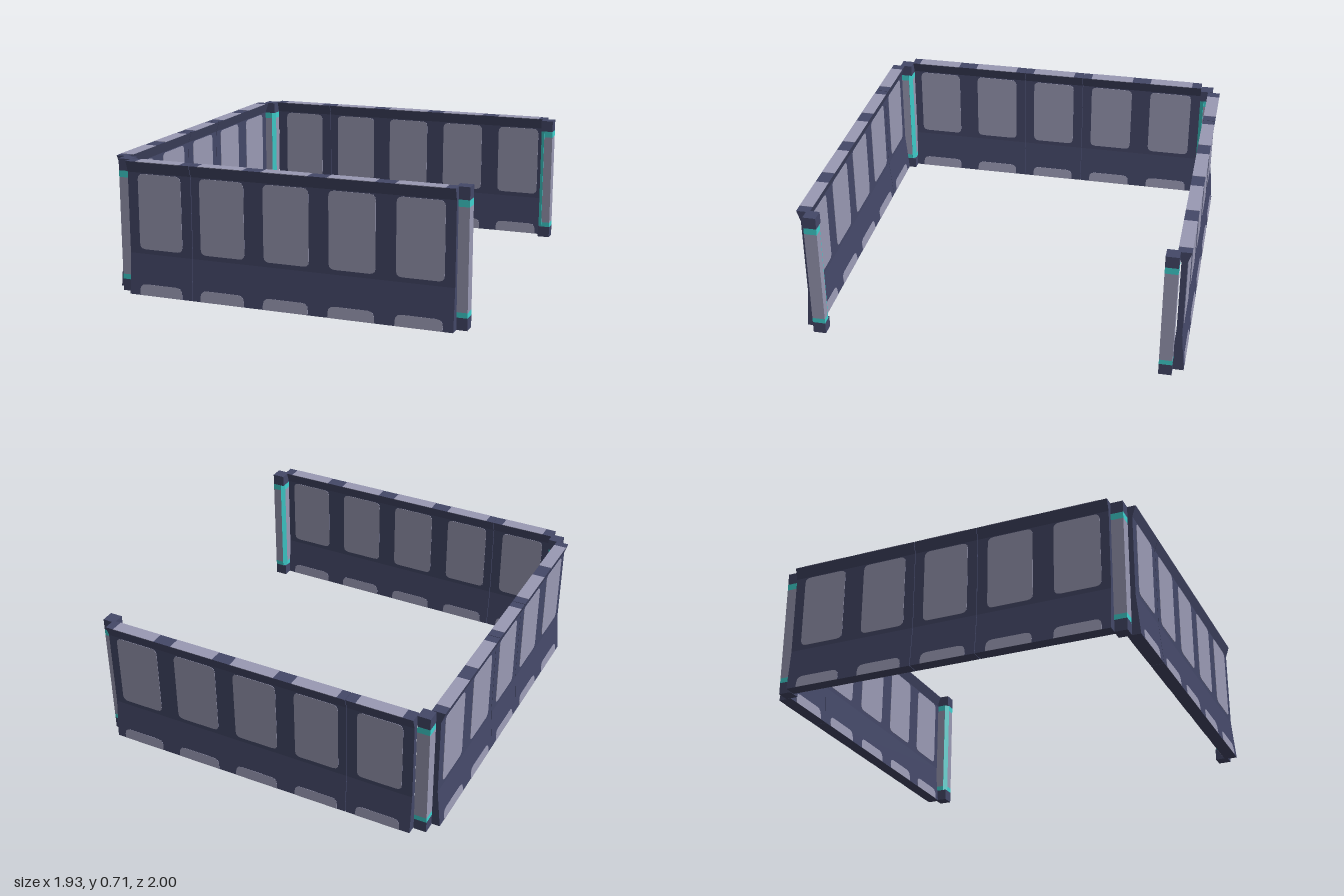
import * as THREE from 'three';

const H = 0.71;          // wall height
const BASE = 0.035;      // half thickness at foot and cap
const CORE = 0.015;      // half thickness of the slim middle
const SLOPE_Y = 0.22;    // top of the sloping foot
const PANEL_W = 0.245;

function mat(name, color) {
  const m = new THREE.MeshStandardMaterial({ color });
  m.name = name;
  return m;
}

export function createModel() {
  const navy = mat('dark navy', 0x444868);
  const grey = mat('pale lilac grey', 0x9a9ab4);
  const cyan = mat('glowing cyan', 0x3fd2d0);
  const model = new THREE.Group();
  model.name = 'fenceEnclosure';

  const add = (parent, name, geo, material, x = 0, y = 0, z = 0) => {
    const m = new THREE.Mesh(geo, material);
    m.name = name;
    m.position.set(x, y, z);
    parent.add(m);
    return m;
  };
  const extrude = (shape, depth) =>
    new THREE.ExtrudeGeometry(shape, { depth, bevelEnabled: false, curveSegments: 3 });

  // Wall cross-section: sloping foot, slim core, flared cap
  const right = [[BASE, 0], [CORE, SLOPE_Y], [CORE, 0.65], [BASE, H]];
  const left = right.map(([x, y]) => [-x, y]).reverse();
  const profile = new THREE.Shape([...right, ...left].map(p => new THREE.Vector2(...p)));

  // Panel outline with rounded top corners and optionally rounded bottom ones
  function panelShape(h, r, rb) {
    const w = PANEL_W / 2;
    const s = new THREE.Shape();
    s.moveTo(-w + rb, 0);
    s.lineTo(w - rb, 0);
    if (rb) s.quadraticCurveTo(w, 0, w, rb);
    s.lineTo(w, h - r);
    s.quadraticCurveTo(w, h, w - r, h);
    s.lineTo(-w + r, h);
    s.quadraticCurveTo(-w, h, -w, h - r);
    s.lineTo(-w, rb);
    if (rb) s.quadraticCurveTo(-w, 0, -w + rb, 0);
    return s;
  }
  const windowGeo = extrude(panelShape(0.4, 0.03, 0.03), 2 * CORE + 0.004);
  const footGeo = extrude(panelShape(0.06, 0.035, 0), 0.003);
  const topGeo = new THREE.BoxGeometry(PANEL_W + 0.003, 0.003, 2 * BASE);

  // A wall runs along local x; joints lists its ends and the seams between
  function wall(name, joints, first, pitch) {
    const g = new THREE.Group();
    g.name = name;
    for (let i = 0; i + 1 < joints.length; i++) {
      const a = joints[i] + (i > 0 ? 0.0015 : 0);
      const b = joints[i + 1] - (i + 2 < joints.length ? 0.0015 : 0);
      add(g, 'wallSection', extrude(profile, b - a).rotateY(Math.PI / 2), navy, a);
    }
    for (let i = 0; i < 5; i++) {
      const x = first + pitch * i;
      add(g, 'windowPanel', windowGeo, grey, x, 0.245, -CORE - 0.002);
      add(g, 'topPlate', topGeo, grey, x, H, 0);
      for (const side of [1, -1]) {
        const foot = new THREE.Group();
        foot.name = 'footPanel';
        foot.position.x = x;
        if (side < 0) foot.rotation.y = Math.PI;
        const plate = add(foot, 'footPlate', footGeo, grey, 0, 0, BASE - 0.0015);
        plate.rotation.x = -Math.atan((BASE - CORE) / SLOPE_Y);
        g.add(foot);
      }
    }
    model.add(g);
    return g;
  }
  wall('frontWall', [-0.85, -0.49, 0.905], -0.67, 0.35).position.z = 0.965;
  wall('backWall', [-0.85, -0.49, 0.9], -0.67, 0.35).position.z = -0.965;
  const sideWall = wall('rightWall', [-0.89, -0.184, 0.172, 0.885], -0.721, 0.357);
  sideWall.rotation.y = Math.PI / 2;
  sideWall.position.x = -0.93;

  // Corner posts: the corner facing the enclosure is cut off and lit
  const P = 0.034, C = 0.02;
  const postShape = new THREE.Shape([
    [-P, -P], [P, -P], [P, P - C], [P - C, P], [-P, P],
  ].map(p => new THREE.Vector2(...p)));
  const prism = (y0, y1) => extrude(postShape, y1 - y0)
    .rotateX(Math.PI / 2).translate(0, y1, 0);
  const capGeo = new THREE.BoxGeometry(2 * P, 0.063, 2 * P);
  const bodyGeo = prism(0.09, 0.612);
  const bandGeos = [prism(0.063, 0.09), prism(0.612, 0.647)];
  const stripGeo = new THREE.BoxGeometry(C * Math.SQRT2, 0.584, 0.003);

  function post(name, x, z, turn) {
    const g = new THREE.Group();
    g.name = name;
    g.position.set(x, 0, z);
    g.rotation.y = turn;
    add(g, 'postBody', bodyGeo, grey);
    bandGeos.forEach(b => add(g, 'postBand', b, cyan));
    add(g, 'postFoot', capGeo, navy, 0, 0.0315);
    add(g, 'postCap', capGeo, navy, 0, H - 0.0315);
    const strip = add(g, 'lightStrip', stripGeo, cyan, P - C / 2, 0.355, P - C / 2);
    strip.rotation.y = Math.PI / 4;
    model.add(g);
  }
  post('backRightPost', -0.887, -0.922, 0);
  post('frontRightPost', -0.882, 0.921, Math.PI / 2);
  post('frontLeftPost', 0.926, 0.914, Math.PI);
  post('backLeftPost', 0.919, -0.91, -Math.PI / 2);

  return model;
}
